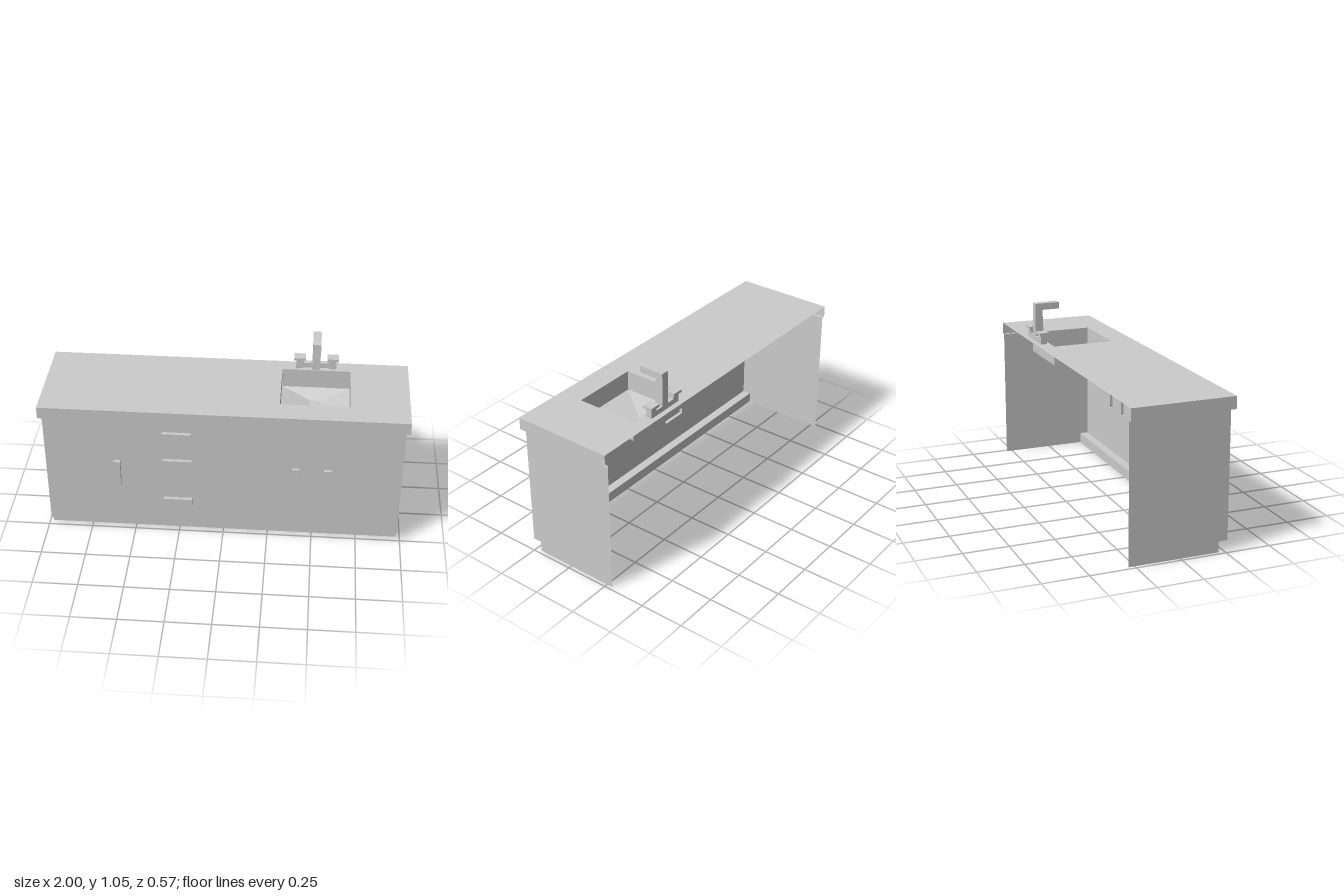
import * as THREE from 'three';

const material = new THREE.MeshStandardMaterial({ color: 0xcccccc, flatShading: true, side: THREE.DoubleSide });
const SIDES = ['right', 'left', 'top', 'bottom', 'front', 'back']; // face order of BoxGeometry

function add(parent, name, geometry) {
  const mesh = new THREE.Mesh(geometry, material);
  mesh.name = name;
  parent.add(mesh);
  return mesh;
}

// Box given by its limits, with the listed sides left open
function box(parent, name, [x0, x1], [y0, y1], [z0, z1], open = []) {
  const g = new THREE.BoxGeometry(x1 - x0, y1 - y0, z1 - z0);
  const index = Array.from(g.index.array);
  g.setIndex(index.filter((_, i) => !open.includes(SIDES[Math.floor(i / 6)])));
  g.clearGroups();
  g.translate((x0 + x1) / 2, (y0 + y1) / 2, (z0 + z1) / 2);
  return add(parent, name, g);
}

function polygon(points) {
  return new THREE.Shape(points.map(([x, y]) => new THREE.Vector2(x, y)));
}

function rect([x0, x1], [y0, y1]) {
  return polygon([[x0, y0], [x1, y0], [x1, y1], [x0, y1]]);
}

// Flat horizontal sheet facing up, drawn in x and -z
function floorSheet(shape, y) {
  return new THREE.ShapeGeometry(shape).rotateX(-Math.PI / 2).translate(0, y, 0);
}

// Sloping ring of four quads between two rectangles {x, z, y}
function funnel(a, b) {
  const ring = ({ x, y, z }) => [[x[0], y, z[0]], [x[0], y, z[1]], [x[1], y, z[1]], [x[1], y, z[0]]];
  const A = ring(a), B = ring(b), positions = [];
  for (let i = 0; i < 4; i++) {
    const j = (i + 1) % 4;
    for (const p of [A[i], B[i], B[j], A[i], B[j], A[j]]) positions.push(...p);
  }
  const g = new THREE.BufferGeometry();
  g.setAttribute('position', new THREE.Float32BufferAttribute(positions, 3));
  g.computeVertexNormals();
  return g;
}

export function createModel() {
  const model = new THREE.Group();
  model.name = 'sinkCabinet';

  const W = 0.98, BACK = -0.285, FRONT = 0.265, RIM = 0.285;
  const KICK_Y = 0.06, KICK_Z = 0.215, BODY_Y = 0.762, TOP_Y = 0.83;

  // Pull handles: x range, y range
  const pulls = [
    [[-0.33, -0.17], [0.655, 0.693]],
    [[-0.33, -0.17], [0.475, 0.513]],
    [[-0.33, -0.17], [0.212, 0.25]],
    [[-0.602, -0.564], [0.335, 0.49]],
    [[0.383, 0.421], [0.335, 0.49]],
    [[0.557, 0.595], [0.335, 0.49]],
  ];

  // Cabinet front, cut open behind each hollow pull
  const frontShape = rect([-W, W], [KICK_Y, BODY_Y]);
  for (const [x, y] of pulls) frontShape.holes.push(rect(x, y));
  add(model, 'cabinetFront', new THREE.ShapeGeometry(frontShape).translate(0, 0, FRONT));
  pulls.forEach(([x, y], i) => {
    box(model, i < 3 ? 'drawerPull' : 'doorPull', x, y, [FRONT, RIM], ['back']);
  });

  // Recessed toe kick and the ledge above it
  box(model, 'toeKick', [-W, W], [0, KICK_Y], [KICK_Z - 0.01, KICK_Z], ['left', 'right', 'top', 'bottom', 'back']);
  add(model, 'toeKickLedge', floorSheet(rect([-W, W], [-FRONT, -KICK_Z]), KICK_Y));

  // Side panels, notched at the toe kick
  const profile = polygon([
    [-BACK, 0], [-BACK, BODY_Y], [-FRONT, BODY_Y], [-FRONT, KICK_Y], [-KICK_Z, KICK_Y], [-KICK_Z, 0],
  ]);
  for (const s of [-1, 1]) {
    const panel = new THREE.ShapeGeometry(profile).rotateY(Math.PI / 2).translate(s * W, 0, 0);
    add(model, s > 0 ? 'leftPanel' : 'rightPanel', panel);
  }

  // Countertop, open at the back, with the basin opening
  const basinX = [0.3, 0.68], basinZ = [-0.2, 0.15];
  const topShape = rect([-1, 1], [-RIM, -BACK]);
  topShape.holes.push(rect(basinX, [-basinZ[1], -basinZ[0]]));
  add(model, 'countertop', floorSheet(topShape, TOP_Y));
  box(model, 'countertopEdge', [-1, 1], [BODY_Y, TOP_Y], [BACK, RIM], ['top', 'bottom', 'back']);
  const lip = polygon([
    [-1, -BACK], [-1, -RIM], [1, -RIM], [1, -BACK], [W, -BACK], [W, -FRONT], [-W, -FRONT], [-W, -BACK],
  ]);
  add(model, 'countertopLip', floorSheet(lip, BODY_Y));

  // Basin: straight walls, then a funnel to the drain
  const basin = new THREE.Group();
  basin.name = 'basin';
  model.add(basin);
  const rim = { x: basinX, z: basinZ, y: TOP_Y };
  const wallFoot = { ...rim, y: 0.717 };
  const drain = { x: [0.46, 0.52], z: [-0.12, -0.06], y: 0.68 };
  add(basin, 'basinWalls', funnel(rim, wallFoot));
  add(basin, 'basinFloor', funnel(wallFoot, drain));
  add(basin, 'drain', floorSheet(rect(drain.x, [-drain.z[1], -drain.z[0]]), drain.y));

  // Faucet: L-shaped spout with a tap on each side
  const faucet = new THREE.Group();
  faucet.name = 'faucet';
  faucet.position.x = 0.487;
  model.add(faucet);
  const spout = polygon([[0.255, TOP_Y], [0.255, 1.05], [0.11, 1.05], [0.11, 1.012], [0.212, 1.012], [0.206, TOP_Y]]);
  const spoutGeometry = new THREE.ExtrudeGeometry(spout, { depth: 0.045, bevelEnabled: false });
  add(faucet, 'spout', spoutGeometry.rotateY(Math.PI / 2).translate(-0.0225, 0, 0));
  for (const s of [-1, 1]) {
    const span = (a, b) => (s > 0 ? [a, b] : [-b, -a]);
    box(faucet, 'tapArm', span(0.0225, 0.07), [TOP_Y, 0.86], [-0.255, -0.228]);
    box(faucet, 'tapStem', span(0.07, 0.112), [TOP_Y, 0.882], [-0.255, -0.219]);
    box(faucet, 'tapHandle', span(0.06, 0.124), [0.882, 0.898], [-0.266, -0.211]);
  }

  return model;
}
